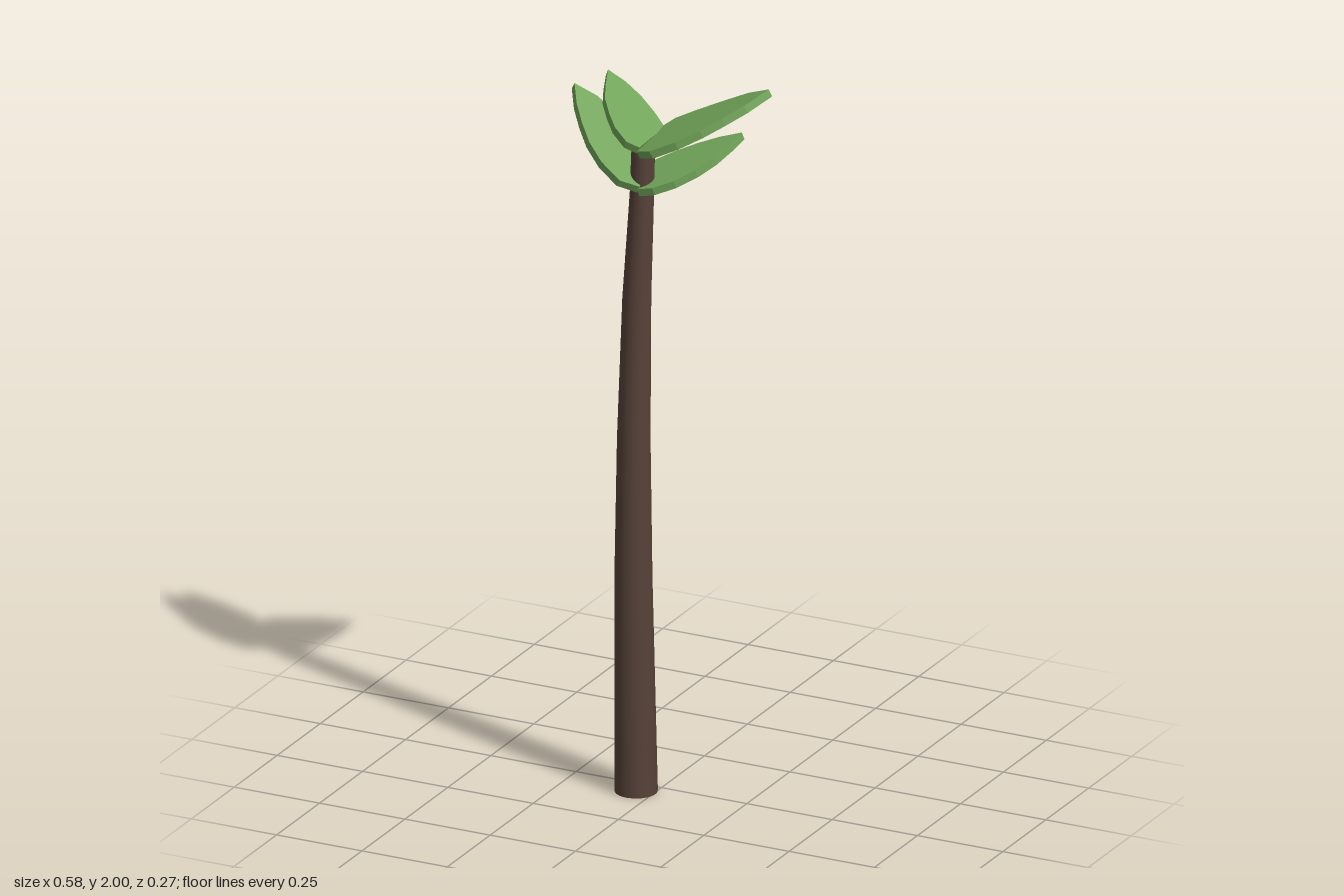
import * as THREE from 'three';

const bark = new THREE.MeshStandardMaterial({ color: 0x574239 });
bark.name = 'brown bark';
const green = new THREE.MeshStandardMaterial({ color: 0x70a358, flatShading: true });
green.name = 'leaf green';

// Bent, tapering trunk: each ring is [y, centre x, centre z, radius]
function makeTrunk() {
  const rings = [
    [0, -0.05, 0.048, 0.057], [0.6, -0.055, 0.054, 0.05], [1.0, -0.051, 0.06, 0.044],
    [1.4, -0.039, 0.066, 0.038], [1.7, -0.021, 0.072, 0.032], [1.83, -0.016, 0.074, 0.031],
  ];
  const last = rings.length - 1;
  const geometry = new THREE.CylinderGeometry(1, 1, 1, 18, last);
  const p = geometry.attributes.position;
  for (let i = 0; i < p.count; i++) {
    const [y, cx, cz, r] = rings[Math.round((p.getY(i) + 0.5) * last)];
    p.setXYZ(i, cx + p.getX(i) * r, y, cz + p.getZ(i) * r);
  }
  const mesh = new THREE.Mesh(geometry, bark);
  mesh.name = 'trunk';
  return mesh;
}

// Thick flat leaf: an [x, z] outline laid on the sloping plane y = a + b x + c z
function makeLeaf(name, outline, a, b, c) {
  const thickness = 0.022;
  const n = Math.hypot(b, 1, c);
  const shape = new THREE.Shape(outline.map(([x, z]) => new THREE.Vector2(x, -z)));
  const geometry = new THREE.ExtrudeGeometry(shape, { depth: thickness, bevelEnabled: false });
  geometry.rotateX(-Math.PI / 2);
  const p = geometry.attributes.position;
  for (let i = 0; i < p.count; i++) {
    const x = p.getX(i), z = p.getZ(i);
    const s = (p.getY(i) - thickness / 2) / n;
    p.setXYZ(i, x - b * s, a + b * x + c * z - (n * thickness) / 2 + s, z - c * s);
  }
  geometry.computeVertexNormals();
  const mesh = new THREE.Mesh(geometry, green);
  mesh.name = name;
  return mesh;
}

export function createModel() {
  const group = new THREE.Group();
  group.name = 'sapling';
  group.add(makeTrunk());

  // Outlines run from the base along the front edge to the tip and back
  const large = [
    [-0.014, 0.108], [0.037, 0.133], [0.103, 0.118], [0.16, 0.086], [0.205, 0.046],
    [0.248, 0], [0.286, -0.066], [0.22, -0.079], [0.143, -0.07], [0.078, -0.058],
    [0.025, -0.044], [0, -0.012],
  ];
  const small = [
    [-0.014, 0.108], [-0.048, 0.116], [-0.093, 0.093], [-0.127, 0.059], [-0.159, 0.02],
    [-0.18, -0.026], [-0.2, -0.08], [-0.148, -0.078], [-0.096, -0.064], [-0.043, -0.039],
    [0, -0.012],
  ];
  const lowerSmall = [
    [-0.014, 0.108], [0.03, 0.107], [0.08, 0.08], [0.12, 0.035], [0.148, -0.02],
    [0.163, -0.08], [0.172, -0.134], [0.114, -0.12], [0.064, -0.098], [0.014, -0.067],
    [-0.03, -0.03], [-0.035, 0],
  ];
  const lowerLarge = large.map(([x, z]) => [-0.014 - (x + 0.014) * 0.91, z + 0.01 * (z < 0)]);

  group.add(
    makeLeaf('upperLeftLeaf', large, 1.86, 0.44, -0.2),
    makeLeaf('upperRightLeaf', small, 1.86, -0.44, -0.2),
    makeLeaf('lowerLeftLeaf', lowerSmall, 1.756, 0.242, -0.258),
    makeLeaf('lowerRightLeaf', lowerLarge, 1.752, -0.54, -0.23),
  );
  return group;
}
